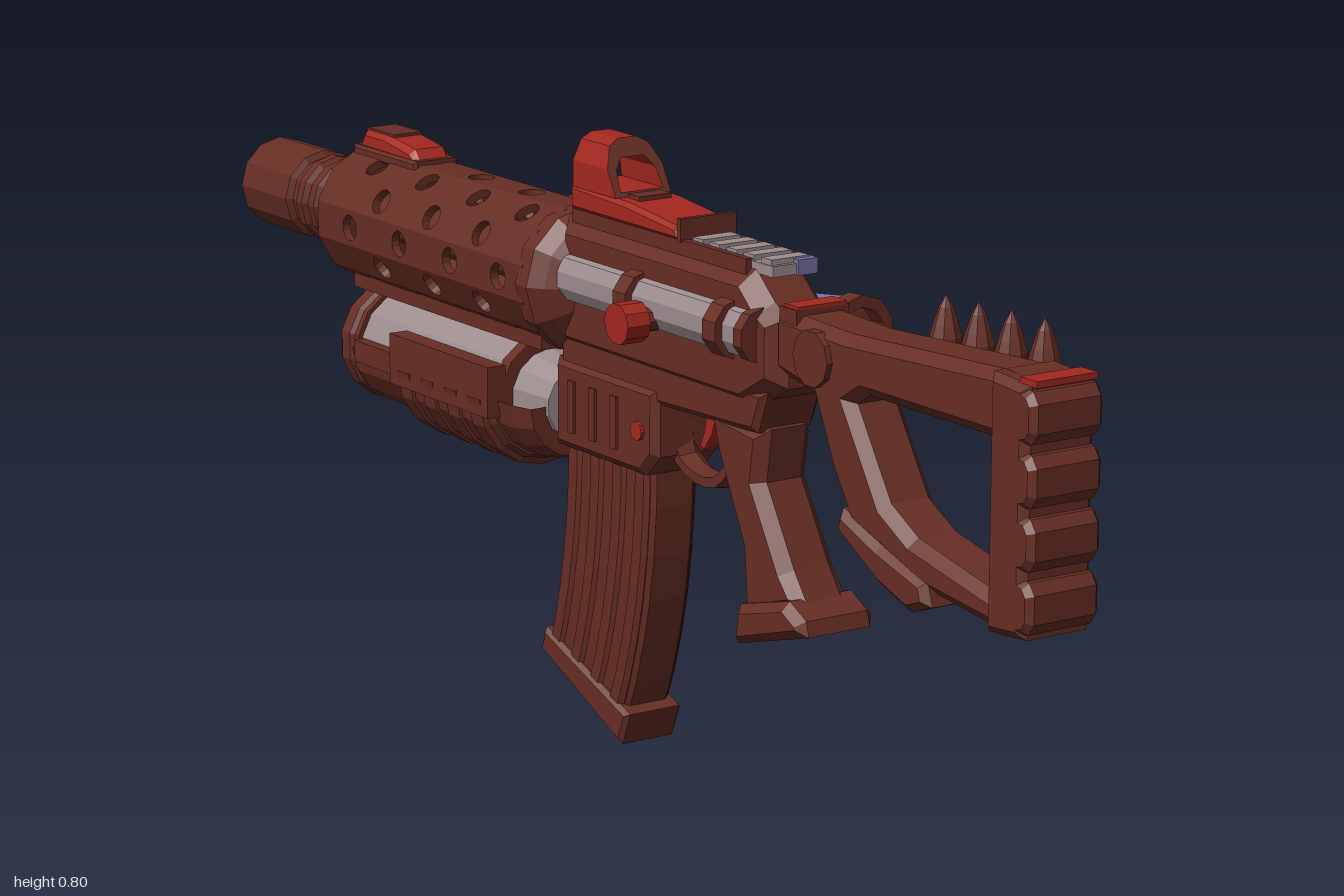
import * as THREE from 'three';

const mat = (name, color) => {
  const m = new THREE.MeshStandardMaterial({ color, flatShading: true });
  m.name = name;
  return m;
};

export function createModel() {
  const brown = mat('brown', 0x672e24), red = mat('red', 0xa3281f);
  const grey = mat('grey', 0x9c8c8e), violet = mat('violet', 0x7670a0);
  const model = new THREE.Group();
  model.name = 'rifle';
  const body = new THREE.Group();
  body.name = 'body';
  body.position.x = -0.011;
  model.add(body);

  const add = (name, geo, material, x = 0, y = 0, z = 0) => {
    const m = new THREE.Mesh(geo, material);
    m.name = name;
    m.position.set(x, y, z);
    body.add(m);
    return m;
  };
  const box = (name, material, w, h, d, x, y, z) => add(name, new THREE.BoxGeometry(w, h, d), material, x, y, z);
  const pts = (a) => a.map(([u, v]) => new THREE.Vector2(u, v));

  // side profile in (z, y), extruded across x with chamfered edges
  const slab = (name, material, outline, width, bevel = 0.012, hole) => {
    const shape = new THREE.Shape(pts(outline));
    if (hole) shape.holes.push(new THREE.Path(pts(hole)));
    const geo = new THREE.ExtrudeGeometry(shape, {
      depth: width - 2 * bevel, bevelEnabled: bevel > 0, bevelThickness: bevel,
      bevelSize: bevel, bevelOffset: -bevel, bevelSegments: 1,
    });
    geo.translate(0, 0, bevel - width / 2).rotateY(-Math.PI / 2);
    return add(name, geo, material);
  };
  // turned part along z, profile in (radius, z), listed so that +z runs along the outside
  const turned = (name, material, profile, y, sides = 12, x = 0, start = 0, sweep = Math.PI * 2) =>
    add(name, new THREE.LatheGeometry(pts(profile), sides, start, sweep).rotateX(Math.PI / 2), material, x, y);

  // skeleton stock with hand opening
  slab('stock', brown,
    [[0.98, 0.655], [0.92, 0.66], [0.62, 0.645], [0.47, 0.65], [0.47, 0.57], [0.55, 0.555], [0.59, 0.47], [0.63, 0.41],
      [0.78, 0.36], [0.92, 0.345], [0.98, 0.35]], 0.084, 0.014,
    [[0.9, 0.575], [0.655, 0.575], [0.63, 0.56], [0.7, 0.45], [0.755, 0.42], [0.9, 0.39]]);
  slab('stockFoot', brown, [[0.62, 0.43], [0.61, 0.4], [0.7, 0.35], [0.76, 0.33], [0.8, 0.345], [0.79, 0.375], [0.7, 0.4]], 0.1, 0.01);
  slab('buttPlate', brown, [[0.985, 0.35], [0.985, 0.655], [0.915, 0.66], [0.915, 0.345]], 0.108, 0.01);
  for (let i = 0; i < 4; i++) {
    const y = 0.352 + i * 0.076;
    slab('buttRidge', brown, [[0.96, y], [0.99, y + 0.006], [1, y + 0.02], [1, y + 0.055], [0.99, y + 0.069], [0.96, y + 0.075]], 0.108, 0.008);
  }
  box('buttTopPlate', red, 0.09, 0.008, 0.032, 0, 0.658, 0.979);
  add('stockHinge', new THREE.CylinderGeometry(0.036, 0.036, 0.1, 10).rotateZ(Math.PI / 2), brown, 0, 0.605, 0.56);

  // spare rounds beside the stock
  const round = pts([[0, 0], [0.02, 0], [0.02, 0.055], [0.016, 0.07], [0.009, 0.092], [0, 0.108]]);
  for (let i = 0; i < 4; i++) add('spareRound', new THREE.LatheGeometry(round, 8), brown, 0.058 + i * 0.006, 0.59, 0.69 + i * 0.056);
  box('roundHolder', brown, 0.05, 0.035, 0.24, 0.055, 0.615, 0.775);

  // receiver
  slab('upperReceiver', brown,
    [[0.49, 0.55], [0.49, 0.64], [0.46, 0.655], [0.42, 0.69], [0, 0.69], [0, 0.51], [0.42, 0.51]], 0.105, 0.022);
  slab('lowerReceiver', brown, [[0.46, 0.54], [0, 0.54], [0, 0.47], [0.44, 0.485]], 0.095, 0.008);
  slab('magazineWell', brown, [[0.23, 0.5], [-0.005, 0.5], [-0.005, 0.38], [0.2, 0.38], [0.23, 0.41]], 0.108, 0.01);
  for (const z of [0.04, 0.09, 0.14]) box('wellRib', brown, 0.116, 0.07, 0.014, 0, 0.44, z);
  box('rearLatch', brown, 0.08, 0.02, 0.036, 0, 0.646, 0.5);
  box('rearLatchTop', red, 0.074, 0.006, 0.03, 0, 0.657, 0.503);
  for (const s of [-1, 1]) {
    const tube = turned('sideTube', grey, [[0, 0.03], [0.034, 0.03], [0.034, 0.44], [0, 0.44]], 0.612, 10, s * 0.044);
    tube.scale.x = 0.85;
    turned('tubeEnd', brown, [[0, 0.435], [0.036, 0.435], [0.036, 0.452], [0, 0.452]], 0.612, 10, s * 0.042);
    for (const z of s > 0 ? [0.14, 0.335] : [0.19, 0.39])
      turned('tubeClamp', s > 0 ? red : brown, [[0, z - 0.014], [0.04, z - 0.014], [0.04, z + 0.014], [0, z + 0.014]], 0.612, 10, s * 0.044);
    add('takedownPin', new THREE.CylinderGeometry(0.013, 0.013, 0.008, 8).rotateZ(Math.PI / 2), red, s * 0.055, 0.44, 0.195);
  }
  box('ejectionPanel', violet, 0.02, 0.06, 0.17, 0.05, 0.55, 0.23);

  // flared port leaning out on the left side, violet on its upper inner quarter
  const quarter = Math.PI / 2;
  for (const [name, material, sides, start, sweep] of [
    ['flaredPort', grey, 9, 3 * quarter, 3 * quarter], ['flaredPortInset', violet, 3, 2 * quarter, quarter]]) {
    const flare = turned(name, material, [[0, 0.3], [0.03, 0.3], [0.044, 0.46], [0, 0.46]], 0.605, sides, 0, start, sweep);
    const p = flare.geometry.attributes.position;
    for (let i = 0; i < p.count; i++) p.setX(i, p.getX(i) + 0.045 + (p.getZ(i) - 0.3) * 0.25);
  }
  turned('portRim', brown, [[0, 0.47], [0.032, 0.465], [0.032, 0.455], [0.048, 0.455], [0.05, 0.485], [0.034, 0.485], [0.032, 0.465], [0, 0.47]],
    0.605, 10, 0.085);
  add('chargingKnob', new THREE.CylinderGeometry(0.027, 0.027, 0.035, 10).rotateZ(Math.PI / 2), red, -0.102, 0.597, 0.24);
  add('knobStem', new THREE.CylinderGeometry(0.016, 0.016, 0.05, 8).rotateZ(Math.PI / 2), brown, -0.07, 0.597, 0.24);

  // top rail: grey ribs between brown cheeks
  box('topRail', grey, 0.062, 0.014, 0.44, 0, 0.692, 0.235);
  for (const s of [-1, 1]) box('railCheek', brown, 0.01, 0.02, 0.39, s * 0.035, 0.692, 0.215);
  for (let i = 0; i < 5; i++) box('railRib', grey, 0.058, 0.01, 0.022, 0, 0.701, 0.29 + i * 0.037);
  box('railEndInset', violet, 0.03, 0.02, 0.02, 0.02, 0.694, 0.449);

  // reflex sight with brown end frames
  slab('sightBase', red, [[0.27, 0.7], [0.265, 0.718], [0.15, 0.73], [0.02, 0.735], [0.02, 0.7]], 0.09, 0.006);
  box('sightBaseEnd', brown, 0.086, 0.03, 0.008, 0, 0.714, 0.268);
  box('sightEmitter', brown, 0.05, 0.008, 0.025, 0, 0.732, 0.14);
  const hood = new THREE.Shape(pts([[-0.043, 0], [0.043, 0], [0.043, 0.035], [0.03, 0.062], [0.014, 0.07], [-0.014, 0.07], [-0.03, 0.062], [-0.043, 0.035]]));
  hood.holes.push(new THREE.Path(pts([[-0.033, 0.006], [0.033, 0.006], [0.03, 0.032], [0.018, 0.047], [-0.018, 0.047], [-0.03, 0.032]])));
  const hoodGeo = new THREE.ExtrudeGeometry(hood, { depth: 0.1, bevelEnabled: false });
  const h = hoodGeo.attributes.position;
  for (let i = 0; i < h.count; i++) if (h.getZ(i) > 0.05) h.setZ(i, 0.1 - h.getY(i) * 0.55);
  add('sightHood', hoodGeo, [brown, red], 0, 0.731, 0.025);

  // pistol grip, trigger and guard
  slab('grip', brown, [[0.45, 0.49], [0.33, 0.5], [0.345, 0.44], [0.4, 0.33], [0.41, 0.24], [0.53, 0.28], [0.5, 0.32], [0.44, 0.42]], 0.085, 0.016);
  slab('gripBase', brown, [[0.415, 0.26], [0.41, 0.207], [0.56, 0.25], [0.555, 0.27], [0.52, 0.288]], 0.118, 0.012);
  const guard = new THREE.CatmullRomCurve3([[0.49, 0.22], [0.41, 0.225], [0.39, 0.26], [0.39, 0.31], [0.42, 0.345]]
    .map(([y, z]) => new THREE.Vector3(0, y, z)));
  const guardGeo = new THREE.TubeGeometry(guard, 10, 0.011, 5);
  guardGeo.scale(2, 1, 1);
  add('triggerGuard', guardGeo, brown);
  slab('trigger', red, [[0.31, 0.49], [0.287, 0.49], [0.28, 0.45], [0.27, 0.43], [0.279, 0.427], [0.296, 0.45]], 0.02, 0);

  // curved magazine with raised ribs
  const back = new THREE.QuadraticBezierCurve(...pts([[0.2, 0.4], [0.2, 0.19], [0.13, 0.03]]));
  const front = new THREE.QuadraticBezierCurve(...pts([[0, 0.4], [0, 0.24], [-0.045, 0.1]]));
  const band = (f, g) => {
    const edge = (k) => Array.from({ length: 7 }, (_, i) => back.getPoint(i / 6).lerp(front.getPoint(i / 6), k).toArray());
    return [...edge(f), ...edge(g).reverse()];
  };
  slab('magazine', brown, band(0, 1), 0.072, 0.008);
  for (const f of [0.03, 0.29, 0.55, 0.81]) slab('magazineRib', brown, band(f, f + 0.16), 0.082, 0.006);
  slab('magazineBase', brown, [[0.155, 0.045], [-0.045, 0.118], [-0.055, 0.085], [0.137, 0]], 0.09, 0.006);

  // perforated handguard built from twelve drilled panels
  const apothem = 0.093, half = apothem * Math.tan(Math.PI / 12);
  for (let i = 0; i < 12; i++) {
    const panel = new THREE.Shape(pts([[-half, 0.02], [half, 0.02], [half, 0.545], [-half, 0.545]]));
    for (const z of i % 2 ? [0.08, 0.2, 0.33, 0.46] : [0.14, 0.265, 0.395])
      panel.holes.push(new THREE.Path().absarc(0, z, 0.018, 0, Math.PI * 2, true));
    const geo = new THREE.ExtrudeGeometry(panel, { depth: 0.012, bevelEnabled: false, curveSegments: 8 });
    geo.rotateX(-Math.PI / 2).translate(0, apothem - 0.012, 0).rotateZ((i * Math.PI) / 6);
    add('handguardPanel', geo, brown, 0, 0.598);
  }
  turned('handguardCollar', brown, [[0, -0.03], [0.098, -0.03], [0.1, 0], [0.085, 0.02], [0.05, 0.05], [0, 0.05]], 0.598);
  turned('handguardCap', brown, [[0, -0.548], [0.07, -0.548], [0.09, -0.535], [0.09, -0.525], [0, -0.525]], 0.598);

  // barrel and hollow muzzle device
  turned('barrel', brown, [[0, -0.65], [0.032, -0.65], [0.032, -0.6], [0.042, -0.595], [0.042, -0.57], [0.032, -0.565], [0.032, 0], [0, 0]], 0.598);
  turned('muzzle', brown,
    [[0, -0.68], [0.042, -0.68], [0.042, -0.82], [0.058, -0.82], [0.064, -0.81], [0.064, -0.685], [0.055, -0.68], [0.055, -0.665],
      [0.062, -0.66], [0.062, -0.645], [0.054, -0.64], [0.06, -0.63], [0.06, -0.615], [0.045, -0.605], [0, -0.605]], 0.598);

  // front sight
  slab('frontSightBase', brown, [[-0.38, 0.68], [-0.38, 0.697], [-0.545, 0.697], [-0.545, 0.68]], 0.07, 0.004);
  slab('frontSight', red, [[-0.385, 0.692], [-0.4, 0.71], [-0.47, 0.72], [-0.525, 0.72], [-0.54, 0.692]], 0.06, 0.008);
  box('frontSightCap', brown, 0.046, 0.004, 0.07, 0, 0.72, -0.49);

  // tilted side pointer with long thin rod
  box('pointerMount', brown, 0.04, 0.05, 0.11, 0.09, 0.61, -0.14);
  const casing = box('pointerCasing', brown, 0.034, 0.046, 0.165, 0.113, 0.634, -0.145);
  const cover = box('pointerCover', red, 0.042, 0.036, 0.11, 0.115, 0.64, -0.13);
  casing.rotation.z = cover.rotation.z = 0.3;
  add('thinRod', new THREE.CylinderGeometry(0.004, 0.004, 0.79, 6).rotateX(Math.PI / 2), brown, 0.111, 0.616, -0.605);

  // underbarrel launcher, open at the muzzle
  turned('launcherTube', grey, [[0.06, -0.46], [0.076, -0.46], [0.076, -0.1]], 0.425, 14);
  turned('launcherBreech', grey, [[0, -0.11], [0.064, -0.11], [0.05, -0.025], [0, -0.025]], 0.425, 14);
  turned('launcherCollar', brown, [[0.076, -0.115], [0.08, -0.115], [0.08, -0.095], [0, -0.095]], 0.425, 14);
  turned('launcherMuzzle', brown,
    [[0, -0.4], [0.058, -0.4], [0.058, -0.51], [0.08, -0.51], [0.085, -0.5], [0.085, -0.48], [0.079, -0.475], [0.079, -0.465], [0.06, -0.465]], 0.425, 14);
  const shell = (name, r, z0, z1) => {
    const lip = (z0 - z1) * 0.08;
    turned(name, brown, [[0, z1], [r - 0.01, z1], [r, z1 + lip], [r, z0 - lip], [r - 0.01, z0], [0, z0]], 0.425, 8, 0, -quarter, 2 * quarter);
  };
  shell('launcherGrip', 0.098, -0.1, -0.34);
  shell('launcherCradle', 0.084, -0.03, -0.5);
  for (let i = 0; i < 4; i++) shell('gripRib', 0.102, -0.11 - i * 0.06, -0.145 - i * 0.06);
  for (const s of [-1, 1]) {
    box('launcherRail', brown, 0.028, 0.07, 0.25, s * 0.086, 0.437, -0.22);
    box('launcherRailTip', brown, 0.02, 0.03, 0.11, s * 0.08, 0.425, -0.4);
  }
  box('launcherBracket', brown, 0.1, 0.02, 0.48, 0, 0.51, -0.28);
  return model;
}
